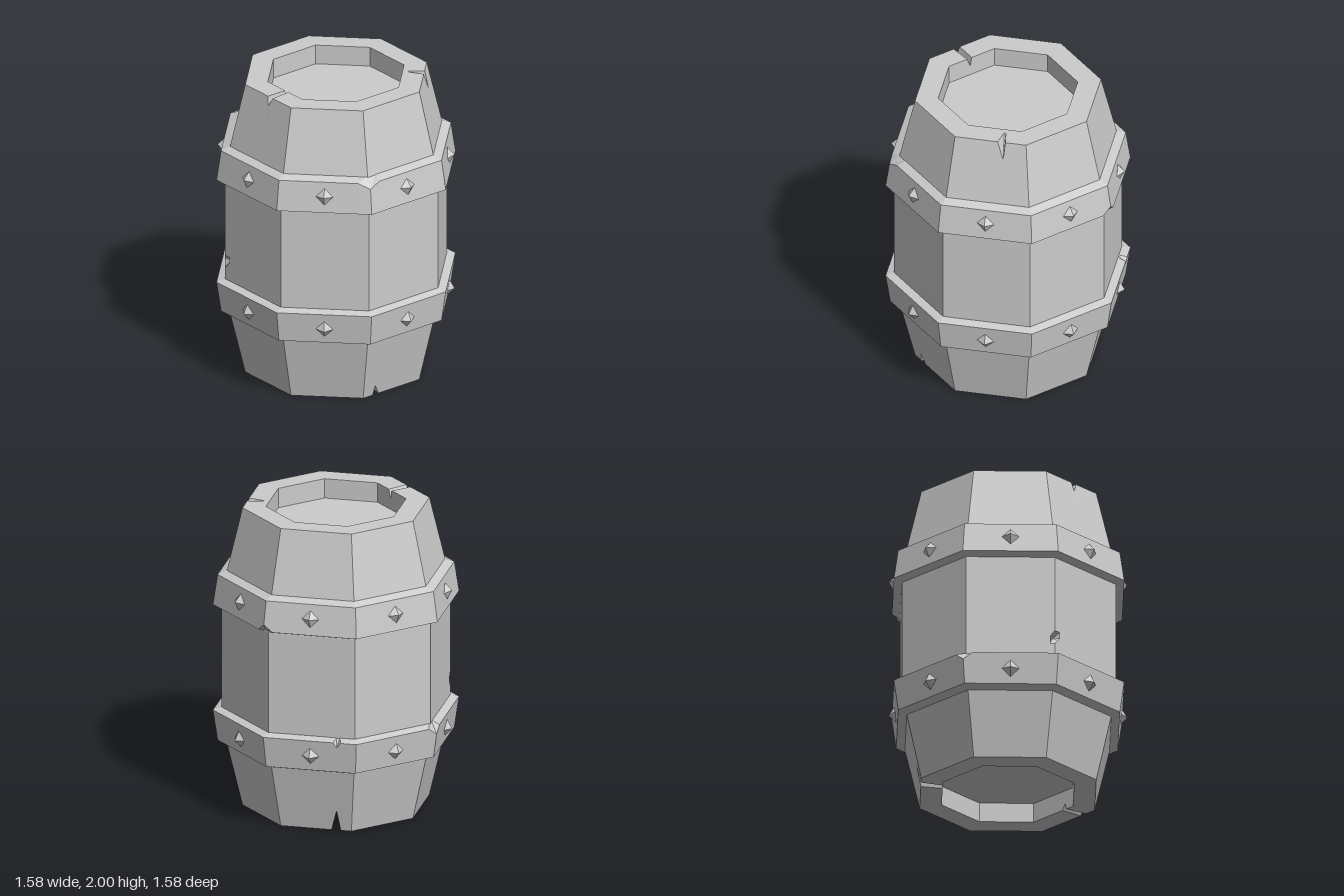
import * as THREE from 'three';

const material = new THREE.MeshStandardMaterial({ color: 0xcccccc, flatShading: true });

// Point on an octagon of corner radius r; u runs 0..8 along its sides, from +z towards +x.
function octPoint(u, r, y) {
  const k = Math.floor(u), t = u - k;
  const corner = (i) => new THREE.Vector3(Math.sin(i * Math.PI / 4) * r, y, Math.cos(i * Math.PI / 4) * r);
  return corner(k).lerp(corner(k + 1), t);
}

// Lofts octagonal rings [r, y, dents]; each dent [u, dr, dy] moves one point of its ring.
function loft(name, extraU, rings) {
  const us = [0, 1, 2, 3, 4, 5, 6, 7, ...extraU].sort((a, b) => a - b);
  const loops = rings.map(([r, y, dents = []]) => us.map((u) => {
    const [, dr, dy] = dents.find((d) => d[0] === u) ?? [u, 0, 0];
    return octPoint(u, r + dr, y + dy);
  }));
  const points = [];
  for (let i = 0; i < loops.length - 1; i++) {
    for (let j = 0; j < us.length; j++) {
      const n = (j + 1) % us.length;
      const a = loops[i][j], b = loops[i][n], c = loops[i + 1][n], d = loops[i + 1][j];
      if (rings[i][0] > 0) points.push(a, b, c);
      if (rings[i + 1][0] > 0) points.push(a, c, d);
    }
  }
  const geometry = new THREE.BufferGeometry().setFromPoints(points);
  geometry.computeVertexNormals();
  const mesh = new THREE.Mesh(geometry, material);
  mesh.name = name;
  return mesh;
}

// Eight pointed studs, one in the middle of each band side
function addStuds(group, y, tilt) {
  const geometry = new THREE.OctahedronGeometry(1, 0).scale(0.055, 0.055, 0.04).rotateX(tilt);
  for (let i = 0; i < 8; i++) {
    const angle = (i + 0.5) * Math.PI / 4, r = 0.716;
    const stud = new THREE.Mesh(geometry, material);
    stud.name = 'stud';
    stud.position.set(Math.sin(angle) * r, y, Math.cos(angle) * r);
    stud.rotation.y = angle;
    group.add(stud);
  }
}

export function createModel() {
  const model = new THREE.Group();
  model.name = 'barrel';

  // Staves with recessed ends, split rims and one chipped edge
  const splits = [
    7.5, 7.53, 7.6,     // top front
    2.6, 2.68, 2.71,    // top right
    1.17, 1.2, 1.27,    // bottom front right
    4.72, 4.79, 4.85,   // bottom back
    6.95, 7.08,         // chipped edge
  ];
  const bottomCuts = [[1.2, 0.017, 0.07], [4.79, 0.033, 0.14]];
  const innerBottomCuts = [[1.2, 0, 0.04], [4.79, 0, 0.08]];
  model.add(loft('barrelBody', splits, [
    [0, 0.13],
    [0.45, 0.13],
    [0.45, 0, innerBottomCuts],
    [0.6, 0, bottomCuts],
    [0.7, 0.42],
    [0.735, 0.67],
    [0.735, 0.74],
    [0.735, 0.79, [[7, -0.05, 0]]],
    [0.735, 0.83],
    [0.735, 1.335],
    [0.7, 1.585],
    [0.6, 2, [[7.53, 0.014, -0.06], [2.68, 0.029, -0.12]]],
    [0.49, 2, [[7.53, 0, -0.06]]],
    [0.45, 2, [[7.53, 0, -0.06]]],
    [0.45, 1.87],
    [0, 1.87],
  ]));

  // Upper band, chipped at a front top corner and the back bottom corner
  const upper = new THREE.Group();
  upper.name = 'upperBand';
  upper.add(loft('upperHoop', [0.87, 1.13, 3.9, 4.1], [
    [0.72, 1.335],
    [0.79, 1.36, [[4, -0.006, 0.045]]],
    [0.76, 1.56, [[1, 0.005, -0.035]]],
    [0.695, 1.585],
  ]));
  addStuds(upper, 1.465, -0.14);
  model.add(upper);

  // Lower band, chipped at the left-hand top corner and nicked at the back
  const lower = new THREE.Group();
  lower.name = 'lowerBand';
  lower.add(loft('lowerHoop', [4.75, 4.79, 4.83, 5.9, 6.1], [
    [0.69, 0.42],
    [0.76, 0.445],
    [0.79, 0.65, [[6, -0.006, -0.045], [4.79, -0.005, -0.035]]],
    [0.725, 0.67],
  ]));
  addStuds(lower, 0.545, 0.14);
  model.add(lower);

  return model;
}
